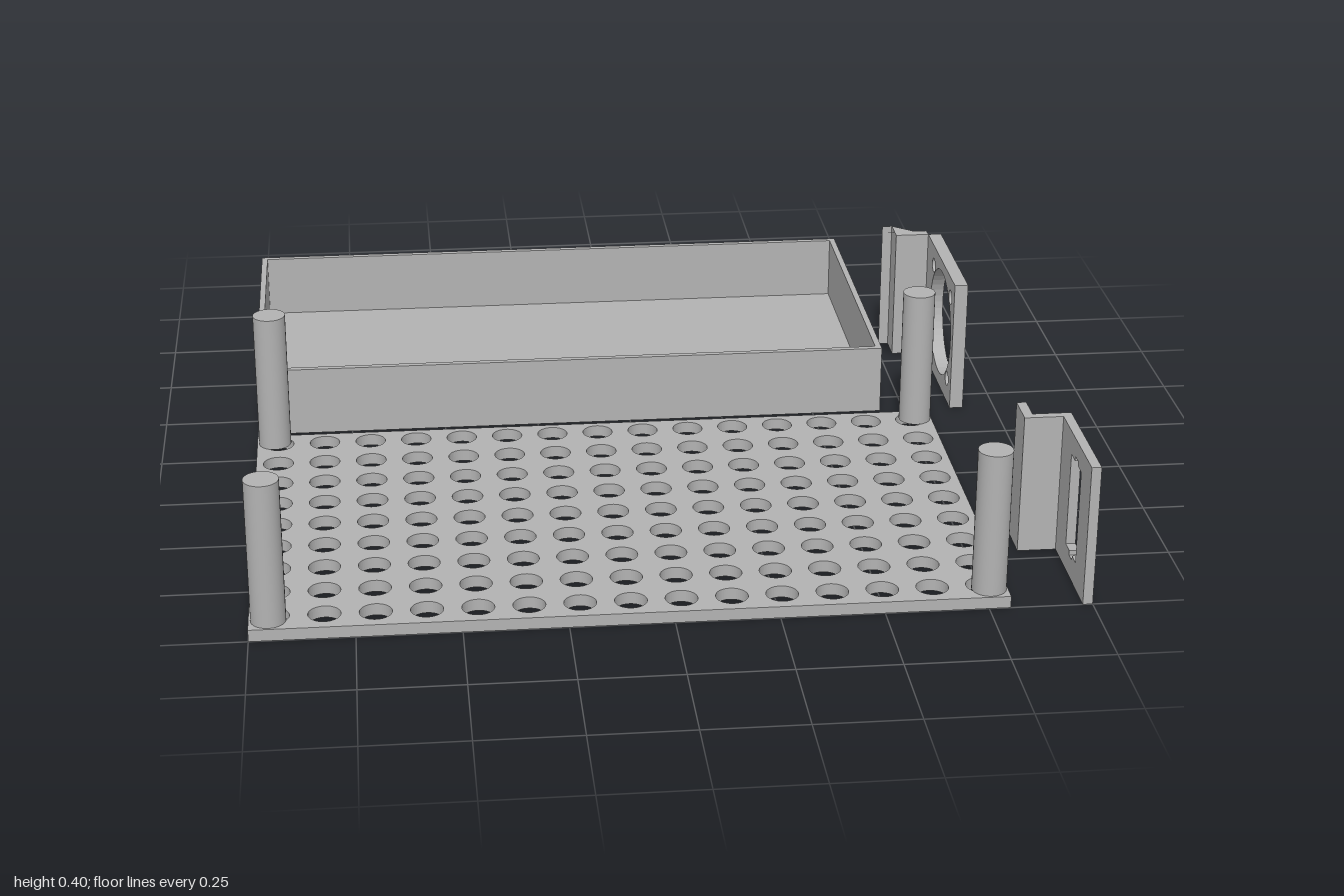
import * as THREE from 'three';

const grey = new THREE.MeshStandardMaterial({ color: 0xb3b3b3 });
grey.name = 'grey plastic';

function add(group, name, geometry) {
  const mesh = new THREE.Mesh(geometry, grey);
  mesh.name = name;
  group.add(mesh);
  return mesh;
}

function polygon(points, Type = THREE.Shape) {
  return new Type(points.map(([a, b]) => new THREE.Vector2(a, b)));
}

function rect(a0, a1, b0, b1, Type) {
  return polygon([[a0, b0], [a1, b0], [a1, b1], [a0, b1]], Type);
}

function circle(a, b, r) {
  return new THREE.Path().absarc(a, b, r, 0, Math.PI * 2, true);
}

function extrude(shape, depth) {
  return new THREE.ExtrudeGeometry(shape, { depth, bevelEnabled: false, curveSegments: 24 });
}

// Outline drawn in (x, -z), raised from y0 to y1
function upright(shape, y0, y1) {
  return extrude(shape, y1 - y0).rotateX(-Math.PI / 2).translate(0, y0, 0);
}

// Outline drawn in (-z, y), thickened from x0 to x1
function sideways(shape, x0, x1) {
  return extrude(shape, x1 - x0).rotateY(Math.PI / 2).translate(x0, 0, 0);
}

// Perforated base plate with four corner posts
function makePlate() {
  const g = new THREE.Group();
  g.name = 'perforatedPlate';
  const shape = rect(-1, 0.802, -1, 0.085);
  for (let i = 0; i < 15; i++) {
    for (let j = 0; j < 9; j++) {
      shape.holes.push(circle(-0.943 + i * 0.1205, 0.03 - j * 0.1205, 0.039));
    }
  }
  add(g, 'plate', upright(shape, 0, 0.03));
  for (const x of [-0.953, 0.757]) {
    for (const z of [-0.039, 0.953]) {
      add(g, 'post', new THREE.CylinderGeometry(0.042, 0.042, 0.365, 32)).position.set(x, 0.2125, z);
    }
  }
  return g;
}

// Open shallow tray
function makeTray() {
  const g = new THREE.Group();
  g.name = 'tray';
  const walls = rect(-1, 0.685, 0.162, 1);
  walls.holes.push(rect(-0.984, 0.669, 0.178, 0.984, THREE.Path));
  add(g, 'trayWalls', upright(walls, 0, 0.185));
  add(g, 'trayFloor', upright(rect(-0.984, 0.669, 0.178, 0.984), 0, 0.016));
  return g;
}

// Stepped mounting bracket: holed face plate, return flange and rear lip
function makeBracket(name, x, z, lip, flange, holes) {
  const g = new THREE.Group();
  g.name = name;
  const height = 0.36;
  const face = rect(-z.front, -z.back, 0, height);
  face.holes.push(...holes);
  add(g, 'facePlate', sideways(face, x.inner, x.outer));
  add(g, 'steppedFlange', upright(polygon([
    [x.inner, -z.back], [x.inner, -z.back - flange], [x.lip, -z.back - flange],
    [x.lip, -z.lip], [x.lip + lip, -z.lip], [x.lip + lip, -z.back],
  ]), 0, height));
  return g;
}

export function createModel() {
  const model = new THREE.Group();
  model.name = 'enclosureParts';
  model.add(makePlate(), makeTray());

  // Fan opening with four screw holes
  const fanHoles = [circle(0.338, 0.183, 0.147)];
  for (const a of [-0.12, 0.12]) {
    for (const b of [-0.12, 0.12]) fanHoles.push(circle(0.338 + a, 0.184 + b, 0.02));
  }
  model.add(makeBracket('fanBracket', { inner: 0.878, outer: 0.914, lip: 0.76 },
    { front: -0.162, back: -0.553, lip: -0.627 }, 0.027, -0.029, fanHoles));

  // Tall socket window with small notches at both ends
  const [l, r, n0, n1] = [-0.906, -0.805, -0.87, -0.842];
  const socket = polygon([
    [l, 0.064], [n0, 0.064], [n0, 0.052], [n1, 0.052], [n1, 0.064], [r, 0.064],
    [r, 0.304], [n1, 0.304], [n1, 0.316], [n0, 0.316], [n0, 0.304], [l, 0.304],
  ], THREE.Path);
  model.add(makeBracket('socketBracket', { inner: 0.976, outer: 1, lip: 0.88 },
    { front: 1, back: 0.685, lip: 0.614 }, 0.024, 0.022, [socket]));

  return model;
}
